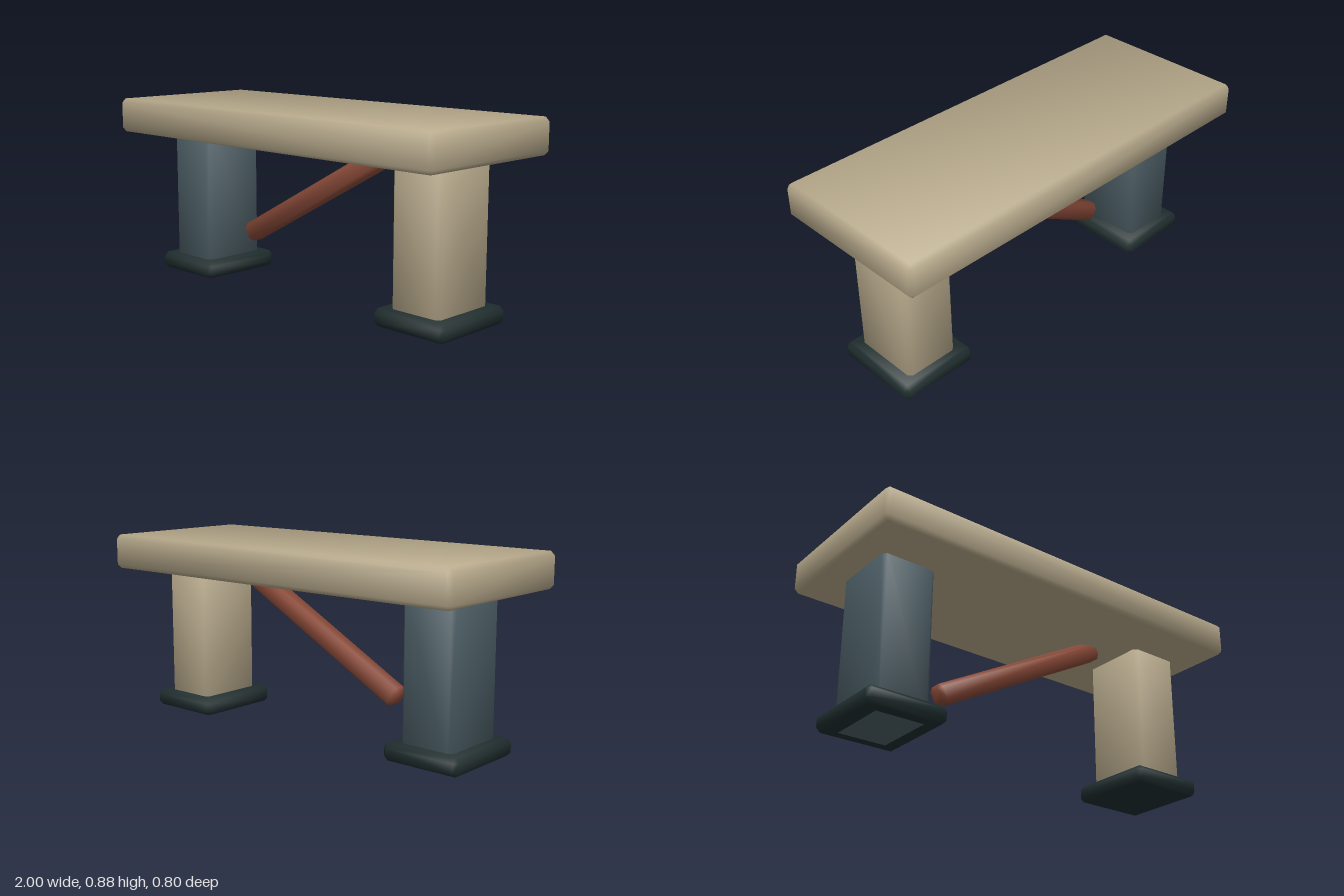
import * as THREE from 'three';
import { ConvexGeometry } from 'three/addons/geometries/ConvexGeometry.js';

// Box with a flat bevel on every edge and softly blended normals
function beveledBox(w, h, d, bevel) {
  const half = [w / 2, h / 2, d / 2];
  const points = [];
  for (let axis = 0; axis < 3; axis++) {
    for (const sx of [-1, 1]) for (const sy of [-1, 1]) for (const sz of [-1, 1]) {
      const p = [sx, sy, sz].map((s, i) => s * (half[i] - (i === axis ? 0 : bevel)));
      points.push(new THREE.Vector3(...p));
    }
  }
  const geometry = new ConvexGeometry(points);
  const position = geometry.attributes.position;
  const n = new THREE.Vector3();
  for (let i = 0; i < position.count; i++) {
    const c = [position.getX(i), position.getY(i), position.getZ(i)];
    // Each corner leans from its own face towards the neighbouring bevels
    n.set(...c.map((v, a) => Math.sign(v) * (Math.abs(v) > half[a] - bevel / 2 ? 1 : 0.39))).normalize();
    geometry.attributes.normal.setXYZ(i, n.x, n.y, n.z);
  }
  return geometry;
}

export function createModel() {
  const sand = new THREE.MeshStandardMaterial({ name: 'sand', color: 0xb8aa8c });
  const slate = new THREE.MeshStandardMaterial({ name: 'slate', color: 0x4b5d64 });
  const rubber = new THREE.MeshStandardMaterial({ name: 'darkRubber', color: 0x1f2d2e });
  const rust = new THREE.MeshStandardMaterial({ name: 'rust', color: 0x8a4a38 });

  const group = new THREE.Group();
  group.name = 'bench';
  const add = (name, geometry, material, x, y) => {
    const mesh = new THREE.Mesh(geometry, material);
    mesh.name = name;
    mesh.position.set(x, y, 0);
    group.add(mesh);
    return mesh;
  };

  // Seat slab
  add('seat', beveledBox(2, 0.165, 0.8, 0.02), sand, 0, 0.8025);

  // Legs run down through their feet, which they meet at the floor
  const legGeometry = beveledBox(0.264, 0.76, 0.334, 0.018);
  const footGeometry = beveledBox(0.386, 0.081, 0.434, 0.02);
  for (const [side, sign, material, lift] of [['left', 1, sand, 0.002], ['right', -1, slate, 0]]) {
    add(side + 'Leg', legGeometry, material, sign * 0.733, 0.38 + lift);
    add(side + 'Foot', footGeometry, rubber, sign * 0.733, 0.0415 - lift / 2);
  }

  // Diagonal brace rising to the underside of the seat
  const brace = add('brace', beveledBox(1.06, 0.094, 0.094, 0.02), rust, 0, 0.473);
  brace.rotation.z = THREE.MathUtils.degToRad(28.5);

  return group;
}
